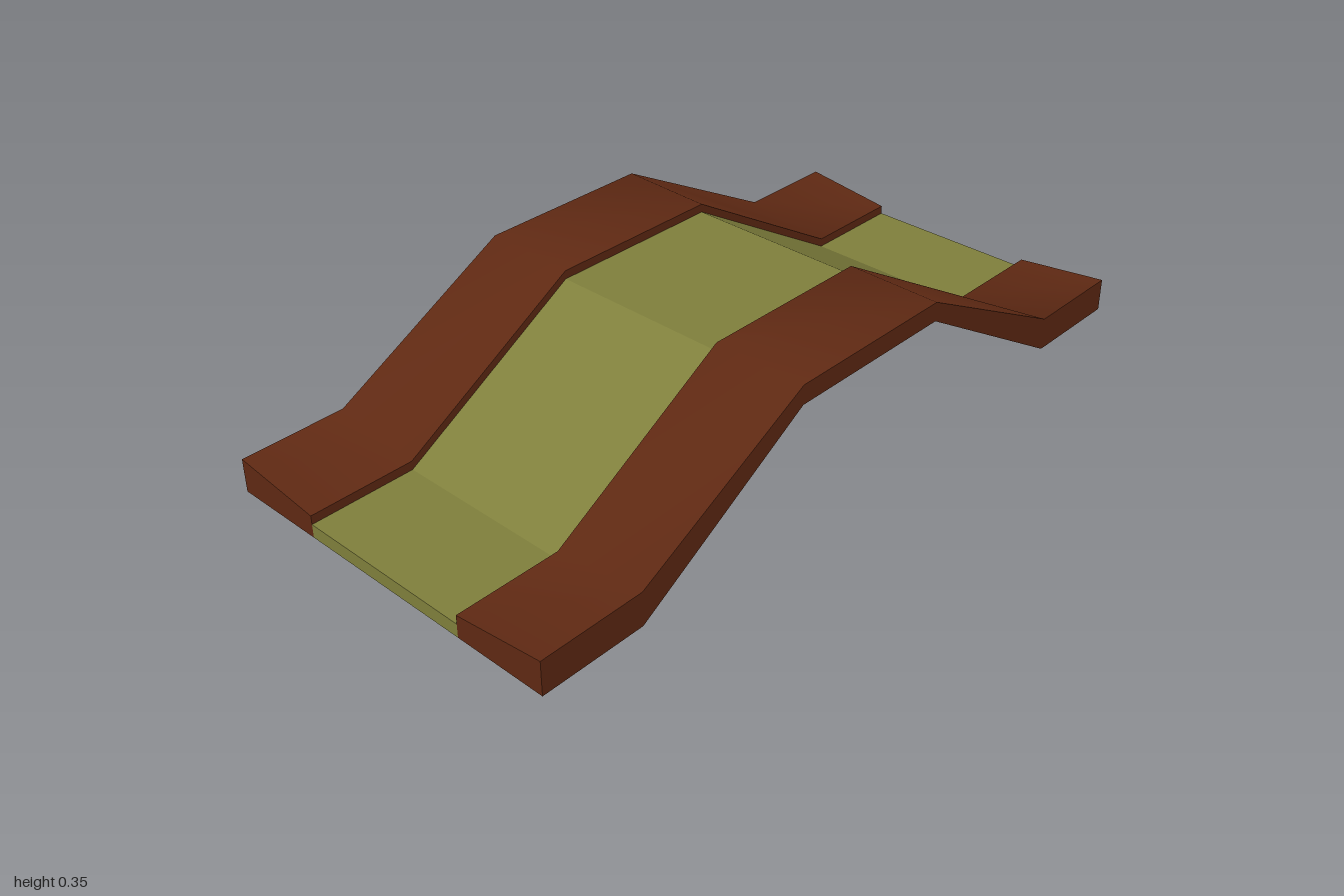
import * as THREE from 'three';

// Stations along the bridge: z, underside, road top, kerb inner top
const half = [
  { z: 1.0, base: 0, road: 0.035, inner: 0.058 },
  { z: 0.725, base: 0, road: 0.035, inner: 0.058 },
  { z: 0.235, base: 0.295, road: 0.325, inner: 0.347 },
];
const stations = [...half, ...half.map((s) => ({ ...s, z: -s.z })).reverse()];
const INNER = 0.239;
const OUTER = 0.487;

// Lofts a four-cornered section (counter-clockwise seen from +z) from front to back.
// Each side has its own vertices, so long edges stay sharp.
function loft(section, smooth) {
  const rings = stations.map((s) => section(s).map(([x, y]) => [x, y, s.z]));
  const pos = [];
  const index = [];
  for (let side = 0; side < 4; side++) {
    const start = pos.length / 3;
    for (const ring of rings) pos.push(...ring[side], ...ring[(side + 1) % 4]);
    for (let i = 0; i < rings.length - 1; i++) {
      const a = start + i * 2;
      index.push(a, a + 2, a + 1, a + 1, a + 2, a + 3);
    }
  }
  // End caps
  [rings[0], [...rings[rings.length - 1]].reverse()].forEach((ring) => {
    const a = pos.length / 3;
    ring.forEach((p) => pos.push(...p));
    index.push(a, a + 1, a + 2, a, a + 2, a + 3);
  });
  let geo = new THREE.BufferGeometry();
  geo.setAttribute('position', new THREE.Float32BufferAttribute(pos, 3));
  geo.setIndex(index);
  if (!smooth) geo = geo.toNonIndexed();
  geo.computeVertexNormals();
  return geo;
}

export function createModel() {
  const group = new THREE.Group();
  const add = (name, geo, color) => {
    const mesh = new THREE.Mesh(geo, new THREE.MeshStandardMaterial({ color }));
    mesh.name = name;
    group.add(mesh);
  };

  // Walkway between the kerbs
  add('walkway', loft((s) => [
    [-INNER, s.base], [INNER, s.base], [INNER, s.road], [-INNER, s.road],
  ], false), 0x7f7f3c);

  // Kerbs: the outer edge rises at the feet and is almost level at the crown
  for (const side of [1, -1]) {
    const crown = side > 0 ? 0.345 : 0.352;
    add(side > 0 ? 'leftKerb' : 'rightKerb', loft((s) => {
      const outer = s.base > 0 ? crown : 0.088;
      const corners = [
        [side * INNER, s.base], [side * OUTER, s.base],
        [side * OUTER, outer], [side * INNER, s.inner],
      ];
      return side > 0 ? corners : corners.reverse();
    }, true), 0x5f2913);
  }
  return group;
}
